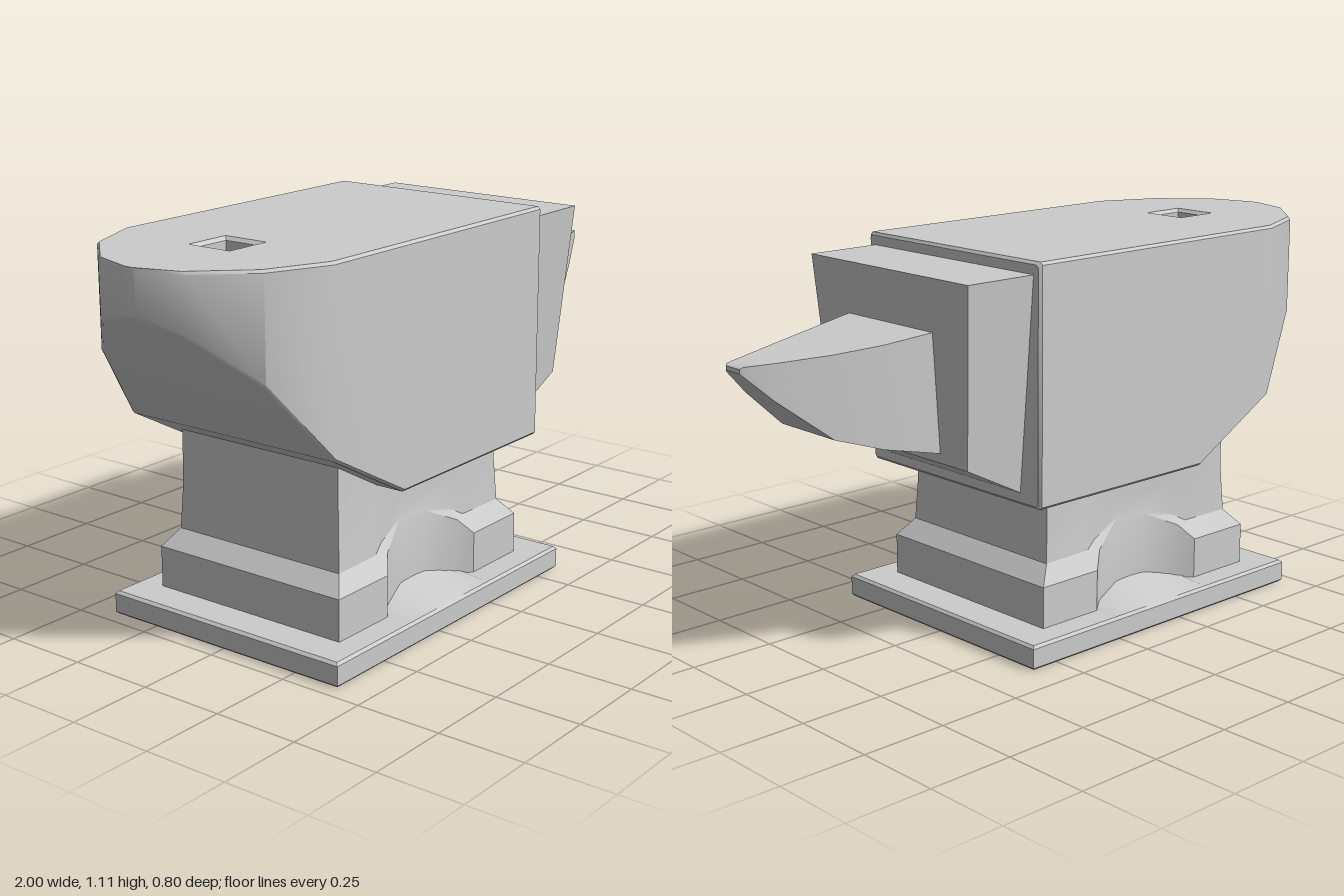
import * as THREE from 'three';
import { toCreasedNormals } from 'three/addons/utils/BufferGeometryUtils.js';

const material = new THREE.MeshStandardMaterial({ color: 0xcccccc });

function addMesh(parent, name, geometry) {
  const mesh = new THREE.Mesh(geometry, material);
  mesh.name = name;
  parent.add(mesh);
  return mesh;
}

// Skin between rings of [x, y, z] points that turn counterclockwise about the loft direction.
function loft(rings, { closed = true, startCap = false, endCap = false, crease = 0.6 } = {}) {
  const pos = [];
  const tri = (a, b, c) => pos.push(...a, ...b, ...c);
  for (let i = 0; i < rings.length - 1; i++) {
    const r = rings[i], s = rings[i + 1], n = r.length;
    for (let j = 0; j < (closed ? n : n - 1); j++) {
      const k = (j + 1) % n;
      tri(r[j], r[k], s[k]);
      tri(r[j], s[k], s[j]);
    }
  }
  const first = rings[0], last = rings[rings.length - 1];
  for (let j = 1; j < first.length - 1; j++) {
    if (startCap) tri(first[0], first[j + 1], first[j]);
    if (endCap) tri(last[0], last[j], last[j + 1]);
  }
  const geometry = new THREE.BufferGeometry();
  geometry.setAttribute('position', new THREE.Float32BufferAttribute(pos, 3));
  return toCreasedNormals(geometry, crease);
}

// Horizontal rectangle, for lofts along y.
const plate = (x0, x1, z, y) => [[x0, y, z], [x1, y, z], [x1, y, -z], [x0, y, -z]];

export function createModel() {
  const model = new THREE.Group();
  model.name = 'anvil';
  const c = 0.008; // edge bevel

  // Base slab
  addMesh(model, 'baseSlab', loft([
    plate(-0.70, 0.335, 0.393, 0),
    plate(-0.708, 0.342, 0.40, 0.007),
    plate(-0.708, 0.342, 0.40, 0.062),
    plate(-0.70, 0.335, 0.393, 0.07),
  ], { startCap: true, endCap: true }));

  // Pedestal with a shallow scoop on both long sides; columns run from one end to the other
  const mid = -0.185;
  const columns = [ // x from middle, wall z, wall top y, waist z, waist y, upper z
    [-0.415, 0.32, 0.19, 0.285, 0.24, 0.275],
    [-0.205, 0.32, 0.19, 0.28, 0.24, 0.266],
    [-0.165, 0.289, 0.235, 0.268, 0.262, 0.26],
    [-0.06, 0.255, 0.285, 0.252, 0.298, 0.25],
  ];
  const half = columns.concat(columns.slice().reverse().map(([x, ...rest]) => [-x, ...rest]));
  const ring = (place) => {
    const front = half.map(place);
    return front.concat(front.slice().reverse().map(([x, y, z]) => [x, y, -z]));
  };
  const atEnd = (x, end) => mid + (Math.abs(x) > 0.4 ? Math.sign(x) * end : x);
  addMesh(model, 'pedestal', loft([
    ring(([x, wz]) => [mid + x, 0.06, wz]),
    ring(([x, wz, wy]) => [mid + x, wy, wz]),
    ring(([x, , , z, y]) => [atEnd(x, 0.37), y, z]),
    ring(([x, , , z, , top]) => [atEnd(x, 0.363), 0.36, (z + 2 * top) / 3]),
    ring(([x, , , , , top]) => [atEnd(x, 0.36), 0.56, top]),
  ], { crease: 0.45 }));

  // Low mounds on the slab inside the scoops
  const steps = Array.from({ length: 13 }, (_, i) => i / 6 - 1);
  for (const [side, angle] of [['front', 0], ['back', Math.PI]]) {
    const mound = addMesh(model, side + 'ScoopMound', loft([
      steps.map((u) => [u * 0.205, 0.07, 0.393]),
      steps.map((u) => [u * 0.205, 0.07 + 0.04 * (1 - u * u), 0.25]),
    ], { closed: false }));
    mound.position.x = mid;
    mound.rotation.y = angle;
  }

  // Body: rounded heel that tapers upward, flat toward the horn
  const body = new THREE.Group();
  body.name = 'body';
  model.add(body);
  const top = 1.105;
  const section = (x, w, b, inset = 0) => {
    const t = top - inset;
    const side = [[t, w - c - inset], [t - c, w - inset], [b + c + inset, w - inset], [b + inset, w - c - inset]];
    const mirror = side.slice().reverse().map(([y, z]) => [y, -z]);
    return side.concat(mirror).map(([y, z]) => [x, y, z]);
  };
  const stations = [ // x, half width, underside y
    [-1, 0.02, 0.98], [-0.96, 0.145, 0.94], [-0.83, 0.283, 0.81],
    [-0.655, 0.358, 0.59], [-0.365, 0.358, 0.43], [0.28 - c, 0.358, 0.43],
  ];
  const sections = stations.map((s) => section(...s));
  addMesh(body, 'bodySides', loft(sections, { closed: false, startCap: true }));
  addMesh(body, 'bodyEnd', loft([sections[5], section(0.28, 0.358, 0.43, c)], { endCap: true }));

  // Working face with the square hole
  const edge = stations.map(([x, w]) => new THREE.Vector2(x, w - c));
  const face = new THREE.Shape(edge.concat(edge.slice().reverse().map((p) => new THREE.Vector2(p.x, -p.y))));
  const [h0, h1, hz] = [-0.715, -0.575, 0.07];
  face.holes.push(new THREE.Path([[h0, -hz], [h1, -hz], [h1, hz], [h0, hz]].map((p) => new THREE.Vector2(...p))));
  addMesh(body, 'workingFace', new THREE.ShapeGeometry(face).rotateX(-Math.PI / 2).translate(0, top, 0));
  addMesh(body, 'squareHole', loft([
    plate(h0, h1, hz, top),
    plate(h0 + 0.01, h1 - 0.01, hz - 0.01, top - 0.01),
    plate(h0 + 0.01, h1 - 0.01, hz - 0.01, top - 0.05),
  ], { endCap: true }));

  // Step block between body and horn, leaning under toward the base
  const slice = (xt, yt, wt, xb, yb, wb) => [[xt, yt, -wt], [xt, yt, wt], [xb, yb, wb], [xb, yb, -wb]];
  addMesh(model, 'stepBlock', loft([
    slice(0.27, 1.07, 0.332, 0.27, 0.46, 0.28),
    slice(0.505, 1.07, 0.33, 0.475, 0.565, 0.288),
  ], { startCap: true, endCap: true }));

  // Horn: flat on top, sweeping up below to a narrow tip
  const hornStations = [ // x, top y, bottom y, half width
    [0.46, 0.928, 0.588, 0.182], [0.51, 0.922, 0.6, 0.175], [0.64, 0.907, 0.628, 0.151],
    [0.775, 0.896, 0.672, 0.115], [0.92, 0.888, 0.79, 0.064], [0.993, 0.885, 0.86, 0.036],
    [1, 0.88, 0.868, 0.03],
  ];
  addMesh(model, 'horn', loft(
    hornStations.map(([x, t, b, w]) => slice(x, t, w, x, b, w)),
    { startCap: true, endCap: true },
  ));

  return model;
}
